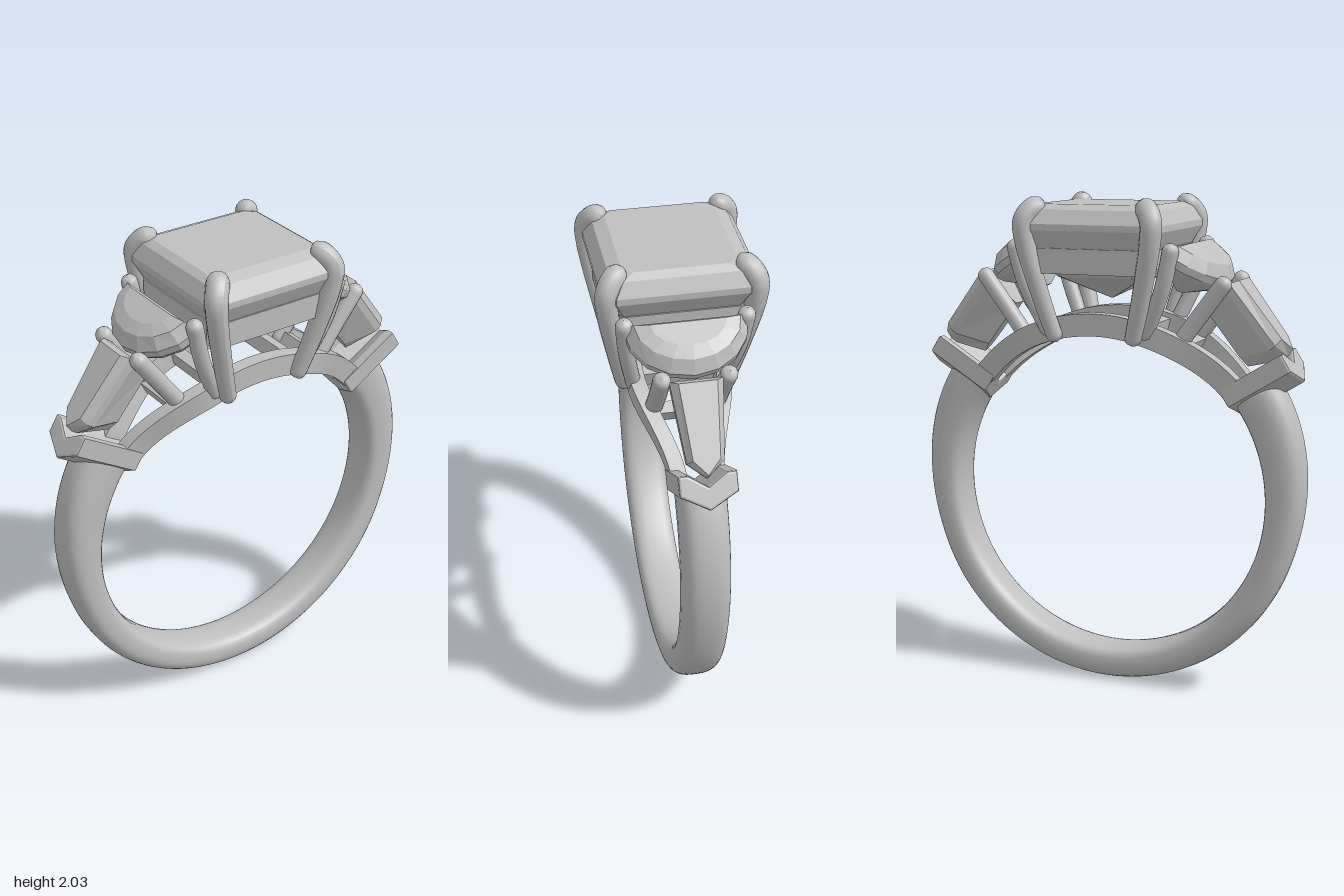
import * as THREE from 'three';
import { toCreasedNormals } from 'three/addons/utils/BufferGeometryUtils.js';

const V = (x, y, z) => new THREE.Vector3(x, y, z);
const CY = 0.81, R = 0.67; // finger hole centre height and radius
const rad = THREE.MathUtils.degToRad;

// Skin a stack of equal-length rings and close both ends.
function loft(rings, crease) {
  const pos = [], tri = (...p) => p.forEach(v => pos.push(v.x, v.y, v.z));
  const n = rings[0].length;
  for (let i = 0; i + 1 < rings.length; i++)
    for (let j = 0; j < n; j++) {
      const k = (j + 1) % n;
      const a = rings[i][j], b = rings[i][k], c = rings[i + 1][k], d = rings[i + 1][j];
      tri(a, b, d);
      tri(b, c, d);
    }
  const lo = rings[0], hi = rings[rings.length - 1];
  for (let j = 1; j + 1 < n; j++) {
    tri(lo[0], lo[j + 1], lo[j]);
    tri(hi[0], hi[j], hi[j + 1]);
  }
  const g = new THREE.BufferGeometry();
  g.setAttribute('position', new THREE.Float32BufferAttribute(pos, 3));
  return toCreasedNormals(g, crease);
}

// Faceted stone: an outline repeated at levels [height, scaleX, scaleZ, shiftX].
function gem(outline, levels) {
  return loft(levels.map(([y, sx, sz, dx = 0]) =>
    outline.map(([x, z]) => V(x * sx + dx, y, z * sz))), 0.05);
}

// Round-ended rod along a curve, tapering from r0 to r1.
function rod(points, r0, r1) {
  const curve = new THREE.CatmullRomCurve3(points), len = curve.getLength(), N = 48, M = 14;
  const g = new THREE.TubeGeometry(curve, N, 1, M);
  const p = g.attributes.position, v = V(0, 0, 0);
  for (let i = 0; i <= N; i++) {
    const t = i / N, c = curve.getPointAt(t), r = r0 + (r1 - r0) * t;
    const d = Math.min(1, Math.min(t, 1 - t) * len / r);
    const s = r * Math.max(0.02, Math.sqrt(1 - (1 - d) ** 2));
    for (let j = 0; j <= M; j++) {
      const q = i * (M + 1) + j;
      v.fromBufferAttribute(p, q).sub(c).multiplyScalar(s).add(c);
      p.setXYZ(q, v.x, v.y, v.z);
    }
  }
  g.computeVertexNormals();
  return g;
}

function chamferRect(a, b, c) {
  return [[-a + c, b], [a - c, b], [a, b - c], [a, -b + c], [a - c, -b], [-a + c, -b], [-a, -b + c], [-a, b - c]];
}
const toVec2 = pts => pts.map(([x, y]) => new THREE.Vector2(x, y));

export function createModel() {
  const silver = new THREE.MeshStandardMaterial({ color: 0xbfbfbf });
  silver.name = 'silver grey';
  const model = new THREE.Group();
  model.name = 'ring';
  const add = (parent, name, geo) => {
    const m = new THREE.Mesh(geo, silver);
    m.name = name;
    parent.add(m);
    return m;
  };

  // Shank: rounded section, thicker towards the shoulders
  const shank = [];
  for (let i = 0; i <= 96; i++) {
    const th = rad(143 + 254 * i / 96);
    const up = Math.asin(Math.sin(th));
    const t = 0.14 + 0.06 * THREE.MathUtils.smoothstep(up, -0.35, 0.7);
    const ring = [];
    for (let j = 0; j < 28; j++) {
      const a = j / 28 * Math.PI * 2, c = Math.cos(a), s = Math.sin(a);
      const e = c < 0 ? 0.6 : 0.85;
      const r = R + t / 2 + t / 2 * Math.sign(c) * Math.abs(c) ** e;
      const z = -0.095 * Math.sign(s) * Math.abs(s) ** 0.7;
      ring.push(V(r * Math.cos(th), CY + r * Math.sin(th), z));
    }
    shank.push(ring);
  }
  add(model, 'shank', loft(shank, 0.9));

  // Gallery rails: the two arcs under the stones, spreading apart at the top
  const railZ = deg => 0.07 + 0.1 * THREE.MathUtils.smoothstep(90 - Math.abs(deg - 90), 38, 74);
  for (const s of [1, -1]) {
    const rings = [];
    for (let i = 0; i <= 40; i++) {
      const deg = 37 + 106 * i / 40, th = rad(deg), z = s * railZ(deg);
      rings.push([[R, 0.03], [R + 0.09, 0.03], [R + 0.09, -0.03], [R, -0.03]].map(([r, w]) =>
        V(r * Math.cos(th), CY + r * Math.sin(th), z + w)));
    }
    add(model, 'galleryRail', loft(rings, 0.5));
  }

  // Cross bars joining the rails
  for (const deg of [62, 76, 104, 118]) {
    const bar = add(model, 'crossBar', new THREE.BoxGeometry(0.05, 0.06, 2 * railZ(deg)));
    bar.position.set((R + 0.04) * Math.cos(rad(deg)), CY + (R + 0.04) * Math.sin(rad(deg)), 0);
    bar.rotation.z = rad(deg - 90);
  }

  // Centre stone: flat table, bevelled crown, pointed pavilion
  add(model, 'centreStone', gem(chamferRect(0.3, 0.3, 0.05), [
    [1.615, 0.01, 0.01], [1.71, 0.6, 0.6], [1.83, 0.88, 0.88], [1.9, 1, 1],
    [1.925, 1, 1], [1.98, 0.9, 0.88], [2.0, 0.8, 0.72]]));

  // Frame below the centre stone
  const frame = new THREE.Shape(toVec2(chamferRect(0.27, 0.27, 0.05)));
  frame.holes.push(new THREE.Path(toVec2(chamferRect(0.215, 0.215, 0.04)).reverse()));
  const frameGeo = new THREE.ExtrudeGeometry(frame, { depth: 0.1, bevelEnabled: false });
  frameGeo.rotateX(-Math.PI / 2);
  add(model, 'centreFrame', frameGeo).position.y = 1.73;

  // Claws holding the centre stone
  for (const x of [1, -1])
    for (const z of [1, -1])
      add(model, 'centreProng', rod([
        V(x * 0.16, 1.45, z * 0.205), V(x * 0.215, 1.65, z * 0.245), V(x * 0.262, 1.86, z * 0.28),
        V(x * 0.265, 1.94, z * 0.28), V(x * 0.235, 1.985, z * 0.245), V(x * 0.21, 1.985, z * 0.21)], 0.033, 0.046));

  // One shoulder, built on +x and turned round for the other side
  for (const turn of [0, Math.PI]) {
    const side = new THREE.Group();
    side.name = turn ? 'rightShoulder' : 'leftShoulder';
    side.rotation.y = turn;
    model.add(side);

    // Half-moon stone, straight edge against the centre stone
    const moon = [];
    for (let i = 0; i <= 8; i++) {
      const a = -Math.PI / 2 + Math.PI * i / 8;
      moon.push([0.215 * Math.cos(a), -0.235 * Math.sin(a)]);
    }
    const moonStone = add(side, 'halfMoonStone', gem(moon, [
      [-0.15, 0.1, 0.15, 0.05], [-0.055, 0.9, 0.9, 0.005], [-0.03, 1, 1], [0, 1, 1],
      [0.045, 0.75, 0.85, 0.012], [0.062, 0.45, 0.6, 0.025]]));
    moonStone.position.set(0.32, 1.812, 0);
    moonStone.rotation.z = -0.52;

    // Tapered stone with a pointed lower end
    const taper = add(side, 'taperedStone', gem(
      [[0, 0.1], [0.3, 0.07], [0.36, 0], [0.3, -0.07], [0, -0.1]], [
        [-0.16, 0.75, 0.35, 0.03], [-0.03, 1, 1], [0, 1, 1], [0.032, 0.94, 0.72, 0.01]]));
    taper.position.set(0.525, 1.7, 0);
    taper.rotation.z = -0.92;

    // Claws of the side stones
    for (const z of [1, -1]) {
      add(side, 'innerProng', rod([
        V(0.2, 1.47, z * 0.175), V(0.29, 1.68, z * 0.215), V(0.335, 1.86, z * 0.232)], 0.03, 0.034));
      add(side, 'outerProng', rod([
        V(0.3, 1.415, z * 0.125), V(0.41, 1.565, z * 0.122), V(0.53, 1.725, z * 0.125)], 0.034, 0.034));
    }

    // V-shaped claw where the shank meets the tapered stone
    const vee = new THREE.Shape(toVec2([[-0.1, -0.07], [0, -0.125], [0.1, -0.07], [0.1, -0.01], [0.075, -0.01],
      [0, -0.06], [-0.075, -0.01], [-0.1, -0.01]]));
    const veeGeo = new THREE.ExtrudeGeometry(vee, {
      depth: 0.28, bevelThickness: 0.01, bevelSize: 0.01, bevelSegments: 2 });
    veeGeo.applyMatrix4(new THREE.Matrix4().makeBasis(
      V(0, 0, -1), V(-0.53, 0.848, 0), V(0.848, 0.53, 0)).setPosition(0.497, 1.282, 0));
    add(side, 'veeProng', veeGeo);
  }
  return model;
}
